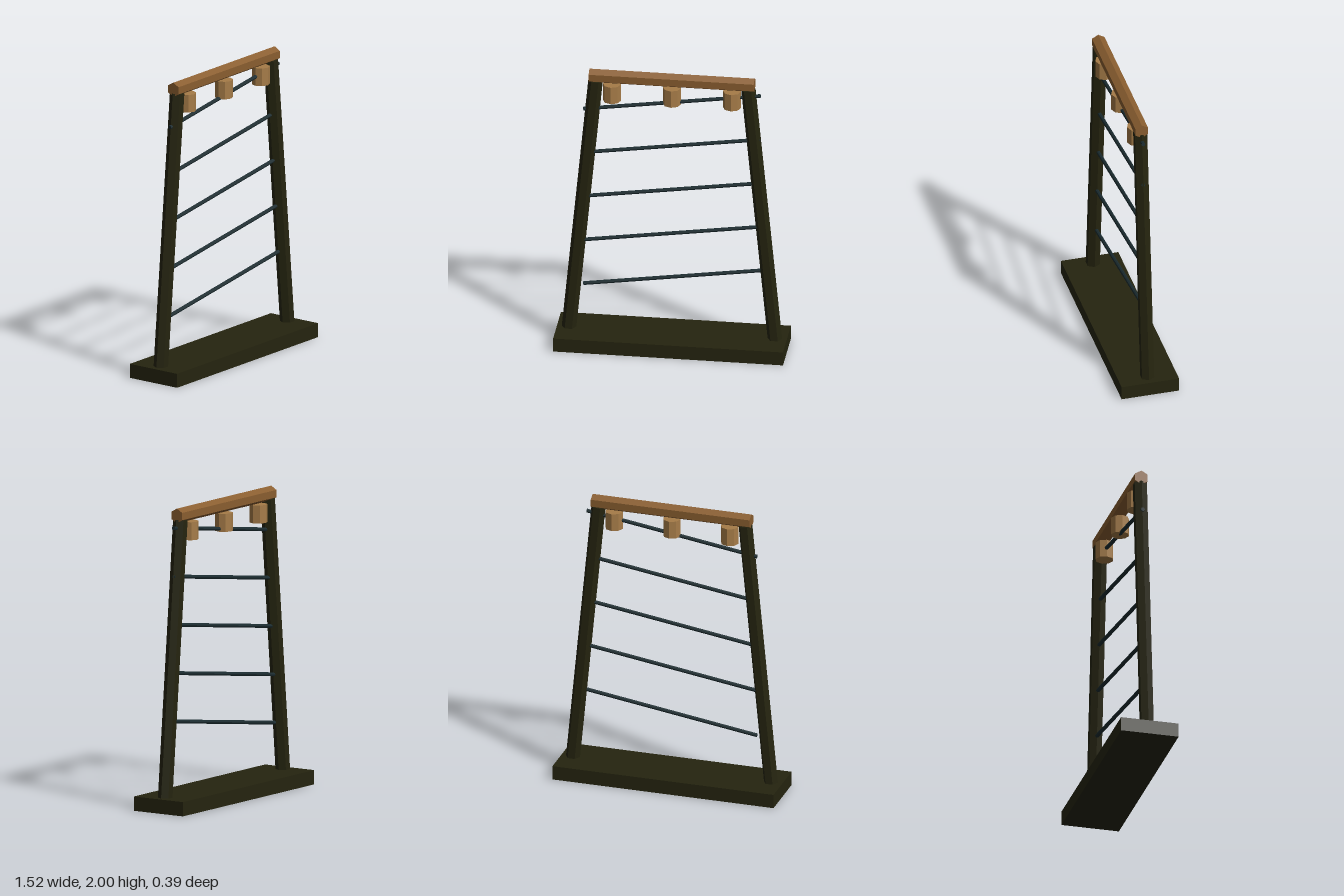
import * as THREE from 'three';

const paint = (name, color) => {
  const m = new THREE.MeshStandardMaterial({ color, flatShading: true });
  m.name = name;
  return m;
};

export function createModel() {
  const darkWood = paint('dark wood', 0x25240f);
  const beamWood = paint('beam wood', 0x8a5e30);
  const pegWood = paint('peg wood', 0xa67c48);
  const rungMetal = paint('rung metal', 0x1b2c30);

  const group = new THREE.Group();
  const add = (name, geometry, material) => {
    const mesh = new THREE.Mesh(geometry, material);
    mesh.name = name;
    group.add(mesh);
    return mesh;
  };

  // Prism running between two points in the front plane
  const bar = (name, x0, y0, x1, y1, radius, sides, turn, material) => {
    const dx = x1 - x0, dy = y1 - y0;
    const geometry = new THREE.CylinderGeometry(radius, radius, Math.hypot(dx, dy), sides);
    geometry.rotateY(turn);
    const mesh = add(name, geometry, material);
    mesh.position.set((x0 + x1) / 2, (y0 + y1) / 2, 0);
    mesh.rotation.z = Math.atan2(-dx, dy);
    return mesh;
  };

  // Base slab
  add('base', new THREE.BoxGeometry(1.52, 0.09, 0.39), darkWood).position.y = 0.05;
  group.getObjectByName('base').scale.y = 0.095 / 0.09;

  // Leaning hexagonal posts, corners pointing sideways
  for (const [name, side] of [['leftPost', 1], ['rightPost', -1]]) {
    bar(name, side * 0.684, 0.06, side * 0.505, 1.92, 0.048, 6, Math.PI / 6, darkWood);
  }

  // Hexagonal top beam, corner pointing up
  bar('topBeam', -0.546, 1.951, 0.546, 1.951, 0.049, 6, Math.PI / 6, beamWood);

  // Sloping rungs
  for (let i = 0; i < 5; i++) {
    const y = 0.505 + i * 0.321;
    bar('rung' + (i + 1), -0.585, y - 0.086, 0.585, y + 0.086, 0.013, 8, 0, rungMetal);
  }

  // Round blocks hanging under the beam
  [-0.397, 0, 0.397].forEach((x, i) => {
    const block = add('hangingBlock' + (i + 1), new THREE.CylinderGeometry(0.06, 0.06, 0.12, 8), pegWood);
    block.position.set(x, 1.838, 0);
  });

  return group;
}
